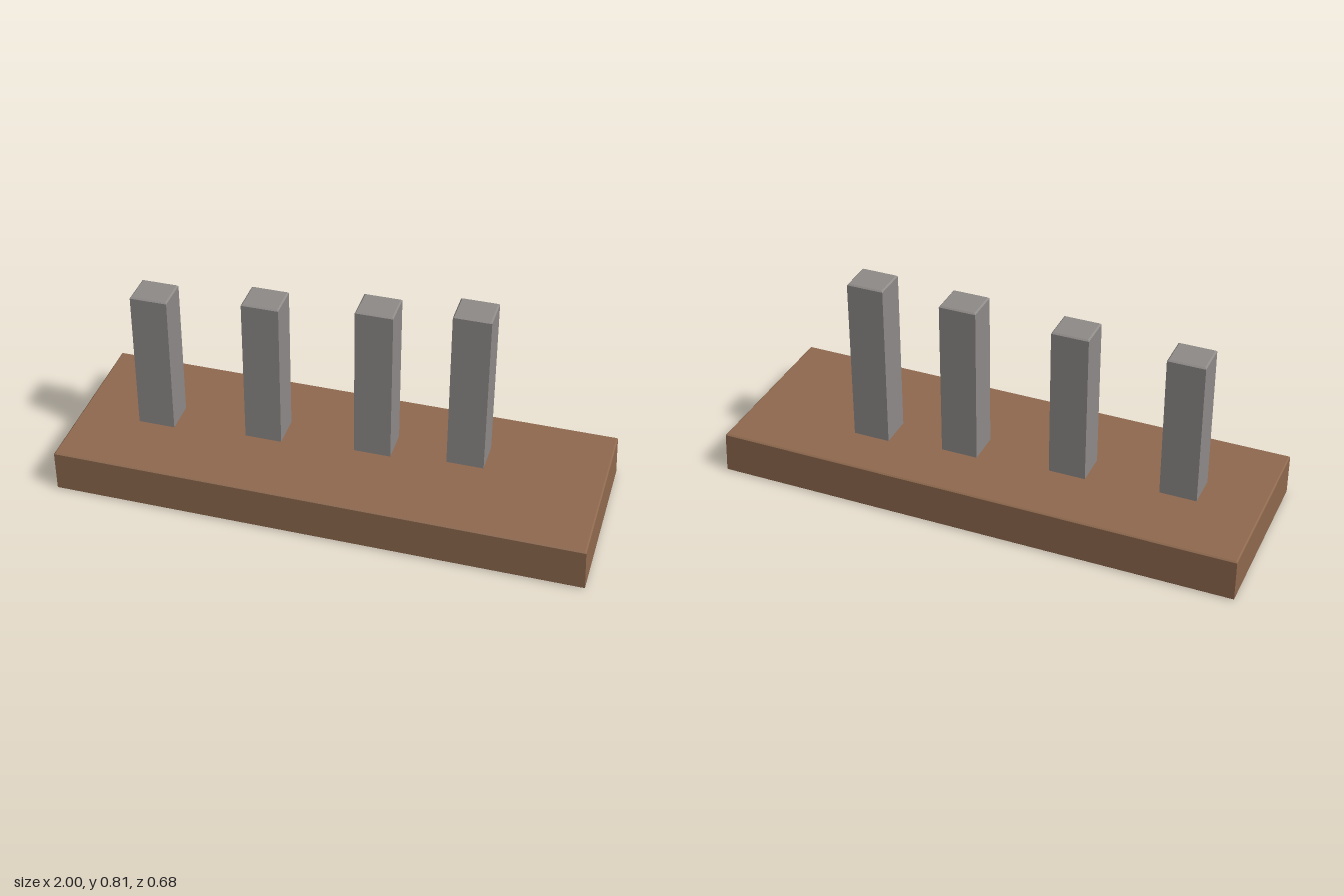
import * as THREE from 'three';

const BEVEL = 0.005;

// Box with small chamfered edges, standing on y = 0
function chamferedBox(w, h, d) {
  const x = w / 2 - BEVEL, z = d / 2 - BEVEL;
  const outline = new THREE.Shape([
    new THREE.Vector2(-x, -z), new THREE.Vector2(x, -z),
    new THREE.Vector2(x, z), new THREE.Vector2(-x, z),
  ]);
  const geo = new THREE.ExtrudeGeometry(outline, {
    depth: h - 2 * BEVEL, bevelEnabled: true,
    bevelThickness: BEVEL, bevelSize: BEVEL, bevelSegments: 1,
  });
  return geo.rotateX(-Math.PI / 2).translate(0, BEVEL, 0);
}

export function createModel() {
  const wood = new THREE.MeshStandardMaterial({ name: 'brown wood', color: 0x8f694e });
  const stone = new THREE.MeshStandardMaterial({ name: 'grey stone', color: 0x8f8b89 });
  const model = new THREE.Group();
  model.name = 'pillarsOnBase';

  // Base slab, its +x end leaning in slightly towards the top
  const baseHeight = 0.166;
  const slab = chamferedBox(2, baseHeight, 0.68);
  const p = slab.attributes.position;
  for (let i = 0; i < p.count; i++) {
    if (p.getX(i) > 0) p.setX(i, p.getX(i) - 0.002 - 0.008 * p.getY(i) / baseHeight);
  }
  slab.computeVertexNormals();
  const base = new THREE.Mesh(slab, wood);
  base.name = 'base';
  model.add(base);

  // Four pillars, rising and stepping back along x: [x, z, top]
  const pillars = [
    [-0.697, 0.003, 0.725], [-0.283, -0.025, 0.753],
    [0.131, -0.053, 0.78], [0.477, -0.081, 0.808],
  ];
  const foot = baseHeight - 0.006;
  pillars.forEach(([x, z, top], i) => {
    const pillar = new THREE.Mesh(chamferedBox(0.14, top - foot, 0.128), stone);
    pillar.name = `pillar${i + 1}`;
    pillar.position.set(x, foot, z);
    model.add(pillar);
  });
  return model;
}
